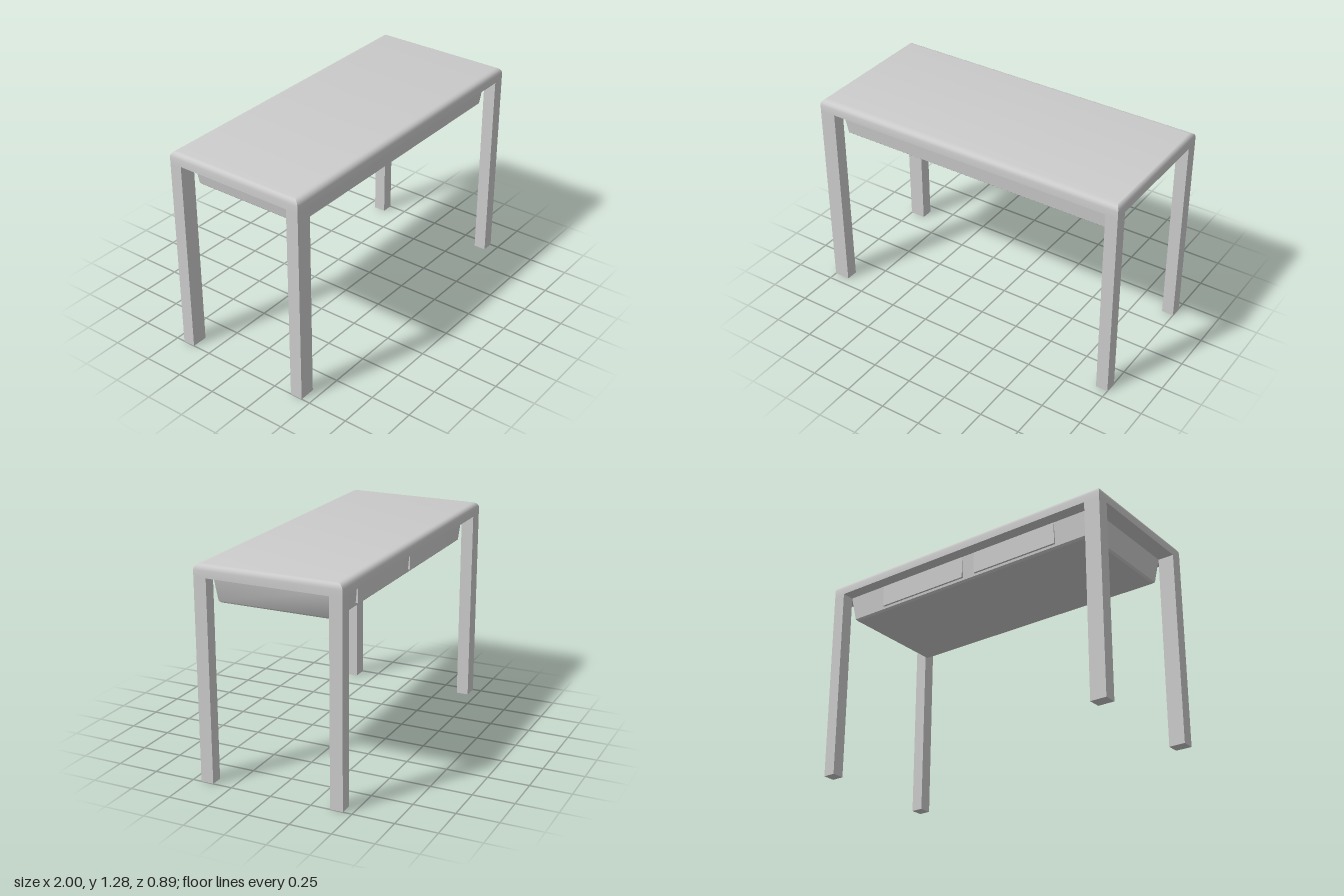
import * as THREE from 'three';
import { toCreasedNormals } from 'three/addons/utils/BufferGeometryUtils.js';

const material = new THREE.MeshStandardMaterial({ color: 0xcccccc });

// Closed solid through rectangular rings [x0, x1, z0, z1, y], listed bottom to top
function loft(rings) {
  const positions = [];
  const index = [];
  for (const [x0, x1, z0, z1, y] of rings) {
    positions.push(x0, y, z1, x1, y, z1, x1, y, z0, x0, y, z0);
  }
  for (let r = 0; r < rings.length - 1; r++) {
    for (let i = 0; i < 4; i++) {
      const a = r * 4 + i, b = r * 4 + (i + 1) % 4;
      index.push(a, b, b + 4, a, b + 4, a + 4);
    }
  }
  const t = (rings.length - 1) * 4;
  index.push(t, t + 1, t + 2, t, t + 2, t + 3, 0, 2, 1, 0, 3, 2);
  const geometry = new THREE.BufferGeometry();
  geometry.setAttribute('position', new THREE.Float32BufferAttribute(positions, 3));
  geometry.setIndex(index);
  return toCreasedNormals(geometry, 0.6);
}

export function createModel() {
  const group = new THREE.Group();
  const add = (name, geometry) => {
    const mesh = new THREE.Mesh(geometry, material);
    mesh.name = name;
    group.add(mesh);
  };
  const block = (name, x0, x1, y0, y1, z0, z1) => {
    const geometry = new THREE.BoxGeometry(x1 - x0, y1 - y0, z1 - z0);
    geometry.translate((x0 + x1) / 2, (y0 + y1) / 2, (z0 + z1) / 2);
    add(name, geometry);
  };

  const D = 0.445, inner = 0.368, rimY = 1.21, topY = 1.285;

  // Tabletop with rounded upper edges and mitred corners
  const rings = [[-1, 1, -D, D, rimY]];
  for (let i = 0; i <= 4; i++) {
    const a = (i / 4) * Math.PI / 2;
    const ix = 0.028 * (1 - Math.cos(a)), iz = 0.04 * (1 - Math.cos(a));
    rings.push([-1 + ix, 1 - ix, -D + iz, D - iz, topY - 0.034 * (1 - Math.sin(a))]);
  }
  add('tabletop', loft(rings));

  // Square legs, slightly wider on the -x side
  for (const [side, x0, x1] of [['Right', -1, -0.9], ['Left', 0.925, 1]]) {
    block('front' + side + 'Leg', x0, x1, 0, rimY, inner, D);
    block('back' + side + 'Leg', x0, x1, 0, rimY, -D, -inner);
  }

  // Tapered drawer case hanging under the top, chamfered at the bottom
  add('drawerCase', loft([
    [-0.862, 0.887, -0.342, 0.342, 1.047],
    [-0.874, 0.897, -0.355, 0.355, 1.058],
    [-0.9, 0.925, -inner, inner, rimY],
  ]));

  // Two upright drawer fronts on the back
  block('leftDrawerFront', 0.03, 0.655, 1.073, rimY, -0.369, -0.33);
  block('rightDrawerFront', -0.64, -0.06, 1.073, rimY, -0.369, -0.33);

  return group;
}
